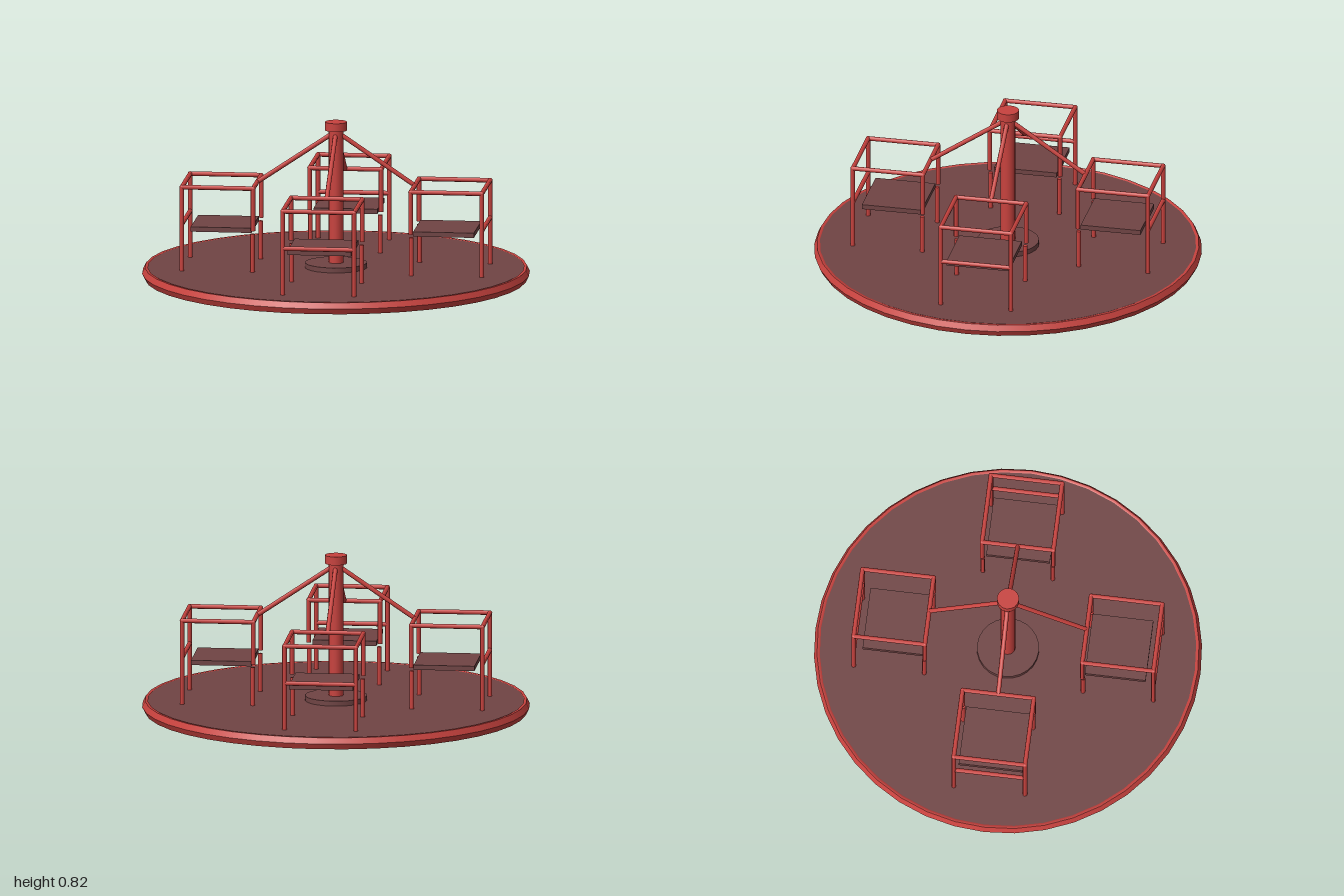
import * as THREE from 'three';

export function createModel() {
  const red = new THREE.MeshStandardMaterial({ color: 0xc8423e });
  red.name = 'paintedRed';
  const dark = new THREE.MeshStandardMaterial({ color: 0x704444 });
  dark.name = 'dullMaroon';

  const model = new THREE.Group();
  model.name = 'merryGoRound';

  const add = (parent, name, geometry, material, x = 0, y = 0, z = 0) => {
    const mesh = new THREE.Mesh(geometry, material);
    mesh.name = name;
    mesh.position.set(x, y, z);
    parent.add(mesh);
    return mesh;
  };

  // Round bar between two points
  const UP = new THREE.Vector3(0, 1, 0);
  const bar = (parent, name, from, to, radius = 0.012) => {
    const a = new THREE.Vector3(...from);
    const b = new THREE.Vector3(...to);
    const dir = b.clone().sub(a);
    const mesh = add(parent, name, new THREE.CylinderGeometry(radius, radius, dir.length(), 8), red);
    mesh.position.copy(a.add(b).multiplyScalar(0.5));
    mesh.quaternion.setFromUnitVectors(UP, dir.normalize());
  };

  // Platform with a bevelled rim
  add(model, 'platform', new THREE.CylinderGeometry(0.972, 0.972, 0.053, 40), dark, 0, 0.0305, 0);
  const rimProfile = [[0.97, 0], [0.985, 0], [0.985, 0], [1, 0.03], [1, 0.03], [0.985, 0.06], [0.985, 0.06], [0.97, 0.06], [0.97, 0.05]]
    .map(([r, y]) => new THREE.Vector2(r, y));
  add(model, 'rim', new THREE.LatheGeometry(rimProfile, 40), red);

  // Central pole, its base plate and cap
  add(model, 'basePlate', new THREE.CylinderGeometry(0.16, 0.16, 0.03, 24), dark, 0, 0.068, 0);
  add(model, 'pole', new THREE.CylinderGeometry(0.038, 0.038, 0.72, 16), red, 0, 0.42, 0);
  add(model, 'cap', new THREE.CylinderGeometry(0.057, 0.057, 0.044, 16), red, 0, 0.798, 0);

  // Four seats on the diagonals; local +x points outwards
  const inner = 0.409, outer = 0.778, half = 0.185, top = 0.495, floor = 0.055;
  for (let i = 0; i < 4; i++) {
    const unit = new THREE.Group();
    unit.name = 'seatUnit';
    unit.rotation.y = Math.PI / 4 + i * Math.PI / 2;
    model.add(unit);

    add(unit, 'seat', new THREE.BoxGeometry(0.315, 0.025, 0.33), dark, 0.577, 0.271, 0);

    for (const z of [-half, half]) {
      bar(unit, 'outerPost', [outer, floor, z], [outer, top, z]);
      // Inner posts are broken at seat height
      bar(unit, 'innerLowerPost', [inner + 0.003, floor, z * 0.98], [inner + 0.003, 0.257, z * 0.98]);
      bar(unit, 'innerUpperPost', [inner, 0.273, z], [inner, top, z]);
      bar(unit, 'armRail', [inner, top, z], [outer, top, z]);
      for (const x of [inner, outer]) {
        add(unit, 'railCorner', new THREE.SphereGeometry(0.0125, 8, 6), red, x, top, z);
      }
    }
    bar(unit, 'innerRail', [inner, top, -half], [inner, top, half]);
    bar(unit, 'outerRail', [outer, top, -half], [outer, top, half]);
    bar(unit, 'backBar', [outer, 0.3, -half], [outer, 0.3, half]);

    // Brace from the pole down to the inner rail
    bar(unit, 'brace', [0.02, 0.757, 0], [inner, top, 0]);
  }
  return model;
}
